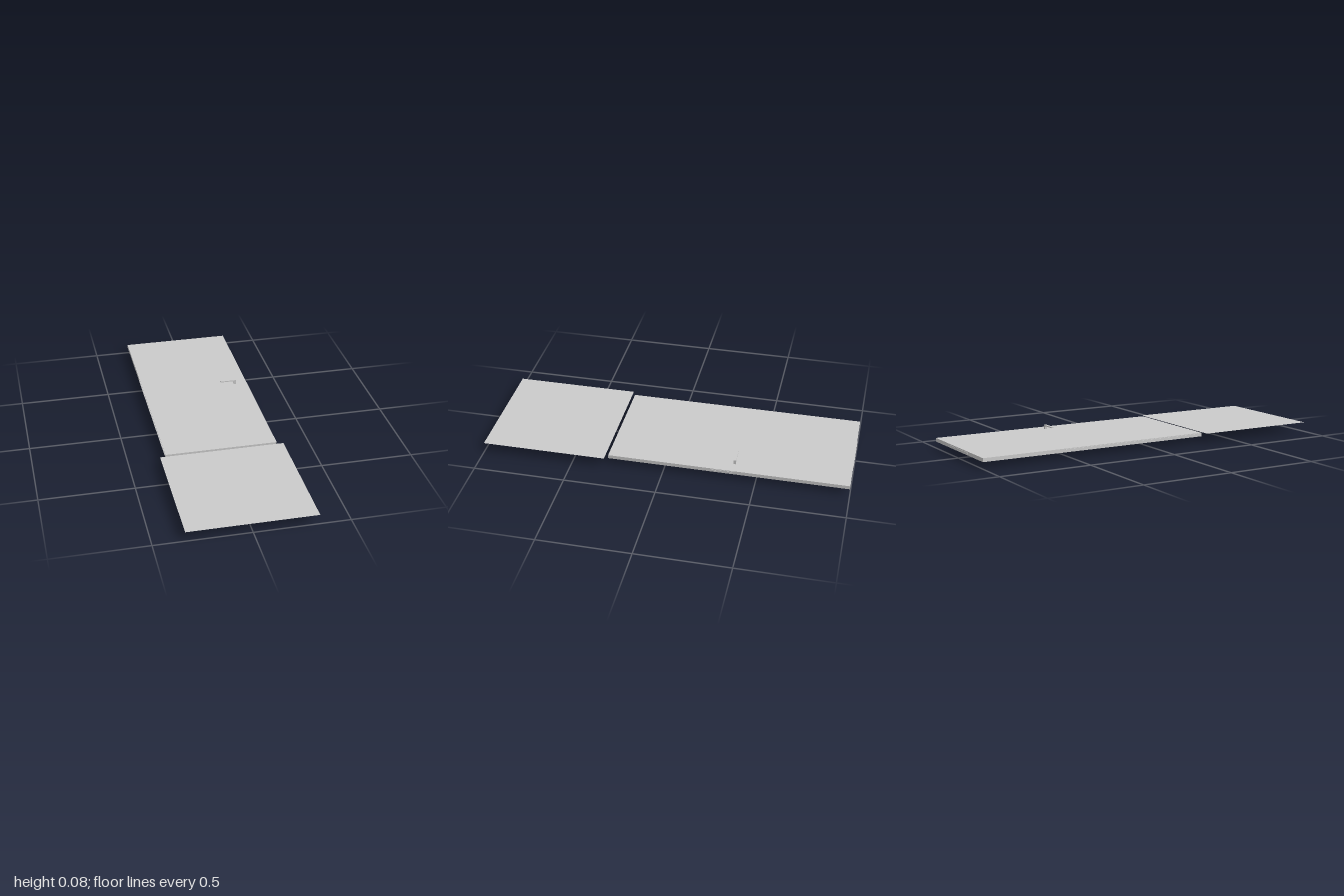
import * as THREE from 'three';

const grey = new THREE.MeshStandardMaterial({ color: 0xcccccc, flatShading: true });
const sheet = new THREE.MeshStandardMaterial({ color: 0xcccccc, side: THREE.DoubleSide });

const TOP = 0.0545, BOTTOM = 0.0345; // faces of the lying door leaf

function add(parent, name, geometry, x, y, z, material = grey) {
  const mesh = new THREE.Mesh(geometry, material);
  mesh.name = name;
  mesh.position.set(x, y, z);
  parent.add(mesh);
  return mesh;
}

function box(parent, name, [x0, x1], [y0, y1], [z0, z1]) {
  return add(parent, name, new THREE.BoxGeometry(x1 - x0, y1 - y0, z1 - z0),
    (x0 + x1) / 2, (y0 + y1) / 2, (z0 + z1) / 2);
}

// L-shaped lever: stem rises from y = 0 to h, the grip runs towards -x
function leverGeometry(h) {
  const s = new THREE.Shape();
  s.moveTo(0.006, 0);
  s.lineTo(0.006, h);
  s.lineTo(-0.087, h);
  s.lineTo(-0.087, h - 0.006);
  s.lineTo(-0.011, h - 0.006);
  s.quadraticCurveTo(-0.006, h - 0.006, -0.006, h - 0.011);
  s.lineTo(-0.006, 0);
  return new THREE.ExtrudeGeometry(s, { depth: 0.012, bevelEnabled: false, curveSegments: 4 })
    .translate(0, 0, -0.006);
}

export function createModel() {
  const model = new THREE.Group();
  model.name = 'door';

  // Leaf and the separate square panel beyond its end
  box(model, 'doorLeaf', [-0.305, 0.304], [BOTTOM, TOP], [-0.998, 0.305]);
  const panel = add(model, 'squarePanel', new THREE.PlaneGeometry(0.675, 0.68), 0, 0.053, 0.66, sheet);
  panel.rotation.x = -Math.PI / 2;

  // Thin fittings let into the edges
  box(model, 'hingeStrip', [-0.309, -0.305], [0.0475, 0.051], [-0.54, 0.3]);
  box(model, 'endPlate', [-0.12, 0.11], [0.041, 0.049], [-1, -0.998]);
  box(model, 'lockFaceplate', [0.304, 0.306], [0.037, 0.051], [-0.385, -0.26]);
  box(model, 'latchBolt', [0.306, 0.308], [0.04, 0.048], [-0.38, -0.365]);
  box(model, 'deadBolt', [0.306, 0.308], [0.04, 0.048], [-0.3, -0.28]);

  // Lever handles on both faces
  const handleX = 0.234, handleZ = -0.377;
  add(model, 'upperLever', leverGeometry(0.0245), handleX, TOP, handleZ);
  const lower = add(model, 'lowerLever', leverGeometry(BOTTOM), handleX, BOTTOM, handleZ);
  lower.rotation.x = Math.PI; // keeps the grip on the same side
  add(model, 'leverRose', new THREE.CylinderGeometry(0.016, 0.016, 0.0045, 24), handleX, BOTTOM - 0.00225, handleZ);

  // Stepped thumb turn beside the lower lever
  const profile = [[0, 0.0175], [0.003, 0.0175], [0.003, 0.022], [0.007, 0.024],
    [0.007, 0.028], [0.015, 0.028], [0.015, BOTTOM]].map(([r, y]) => new THREE.Vector2(r, y));
  add(model, 'thumbTurn', new THREE.LatheGeometry(profile, 24), 0.264, 0, -0.29);

  return model;
}
